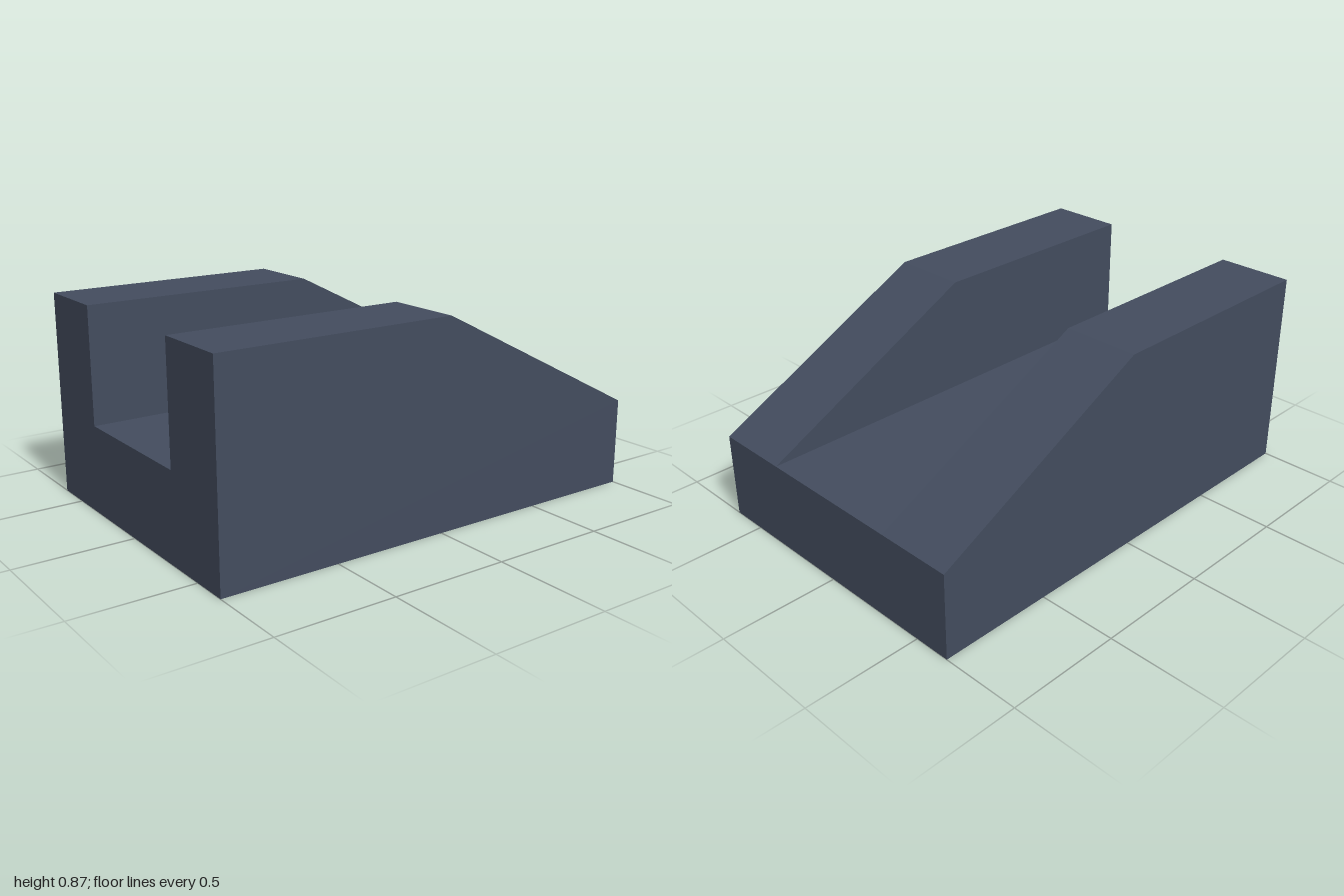
import * as THREE from 'three';

const BED_HEIGHT = 0.375;
const WALL_HEIGHT = 0.87;
const HALF_WIDTH = 0.66;
const INNER = 0.327;
const SLOPE_START = 0.025;

export function createModel() {
  const group = new THREE.Group();
  group.name = 'slopedChannelBlock';
  const slate = new THREE.MeshStandardMaterial({ color: 0x434c5e });
  slate.name = 'slateBlue';

  // Low bed forming the channel floor
  const bed = new THREE.Mesh(new THREE.BoxGeometry(2, BED_HEIGHT, INNER * 2), slate);
  bed.name = 'channelFloor';
  bed.position.y = BED_HEIGHT / 2;
  group.add(bed);

  // Side walls: flat on top, then sloping down to the bed height
  const profile = new THREE.Shape([
    new THREE.Vector2(-1, 0),
    new THREE.Vector2(1, 0),
    new THREE.Vector2(1, BED_HEIGHT),
    new THREE.Vector2(SLOPE_START, WALL_HEIGHT),
    new THREE.Vector2(-1, WALL_HEIGHT),
  ]);
  const wallGeometry = new THREE.ExtrudeGeometry(profile, {
    depth: HALF_WIDTH - INNER,
    bevelEnabled: false,
  });
  for (const [name, z] of [['frontWall', INNER], ['backWall', -HALF_WIDTH]]) {
    const wall = new THREE.Mesh(wallGeometry, slate);
    wall.name = name;
    wall.position.z = z;
    group.add(wall);
  }
  return group;
}
